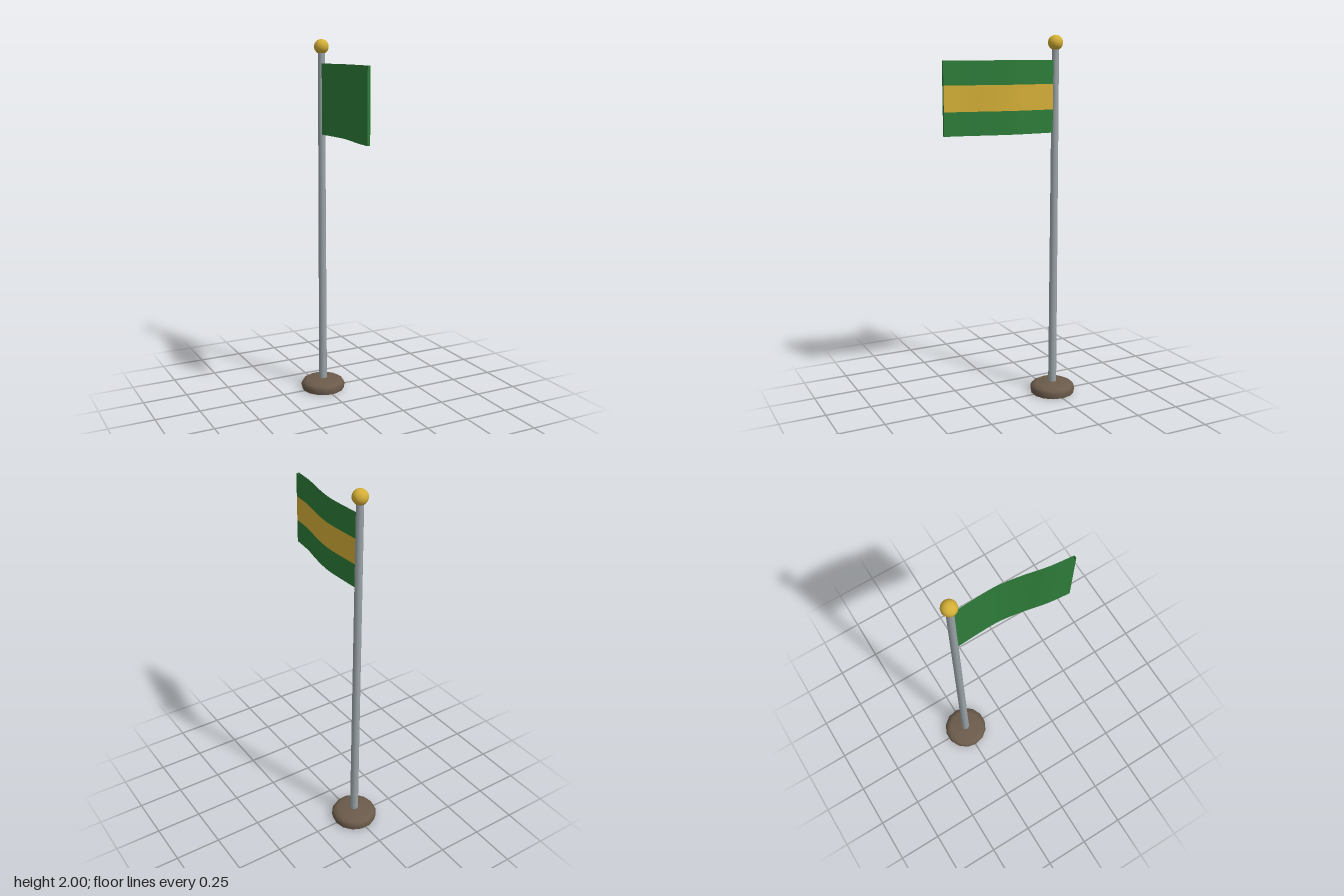
import * as THREE from 'three';

const material = (name, color, side = THREE.FrontSide) => {
  const m = new THREE.MeshStandardMaterial({ color, side });
  m.name = name;
  return m;
};

export function createModel() {
  const model = new THREE.Group();
  model.name = 'flagpole';
  const grey = material('pole grey', 0x9aa3a8);
  const brown = material('base brown', 0x6b5b4b);
  const gold = material('gold', 0xd4af37, THREE.DoubleSide);
  const green = material('flag green', 0x2e7d3a, THREE.DoubleSide);
  const poleZ = -0.25;

  const add = (name, geometry, mat, y = 0, z = 0) => {
    const mesh = new THREE.Mesh(geometry, mat);
    mesh.name = name;
    mesh.position.set(0, y, z);
    model.add(mesh);
    return mesh;
  };

  // Domed foot with a flat underside
  const profile = [[0.122, 0], [0.128, 0.028], [0.118, 0.046], [0.092, 0.06], [0, 0.066]]
    .map(([r, y]) => new THREE.Vector2(r, y));
  add('base', new THREE.LatheGeometry(profile, 14), brown, 0, poleZ).rotation.y = Math.PI / 2;
  add('baseUnderside', new THREE.CircleGeometry(0.122, 14), brown, 0, poleZ).rotation.x = Math.PI / 2;

  // Tapered pole and ball finial
  add('pole', new THREE.CylinderGeometry(0.019, 0.023, 1.88, 12), grey, 0.99, poleZ);
  add('finial', new THREE.SphereGeometry(0.04, 24, 16), gold, 1.96, poleZ);

  // Waving centre line of the cloth, from the pole to the free end
  const length = 0.625, half = 0.008, steps = 16;
  const wave = new THREE.CatmullRomCurve3([0, 0.007, 0.009, -0.008, -0.033, -0.046]
    .map((x, i) => new THREE.Vector3(x, 0, poleZ + (length * i) / 5)));

  // Vertical sheet following the wave; side is +1 for left, -1 for right
  const sheet = (bottom, top, side) => {
    const g = new THREE.PlaneGeometry(1, 1, steps, 1);
    const p = g.attributes.position;
    for (let i = 0; i < p.count; i++) {
      const t = p.getX(i) + 0.5;
      const c = wave.getPoint(side > 0 ? 1 - t : t);
      p.setXYZ(i, c.x + side * half, p.getY(i) > 0 ? top : bottom, c.z);
    }
    g.computeVertexNormals();
    return g;
  };
  const levels = [1.486, 1.61, 1.745, 1.87];
  ['lowerBand', 'middleStripe', 'upperBand'].forEach((name, i) =>
    add(name, sheet(levels[i], levels[i + 1], 1), i === 1 ? gold : green));
  add('flagBack', sheet(levels[0], levels[3], -1), green);

  // Narrow closing edge at the free end
  const edge = add('flagEdge', new THREE.PlaneGeometry(half * 2, levels[3] - levels[0]), green,
    (levels[0] + levels[3]) / 2, poleZ + length);
  edge.position.x = -0.046;

  return model;
}
